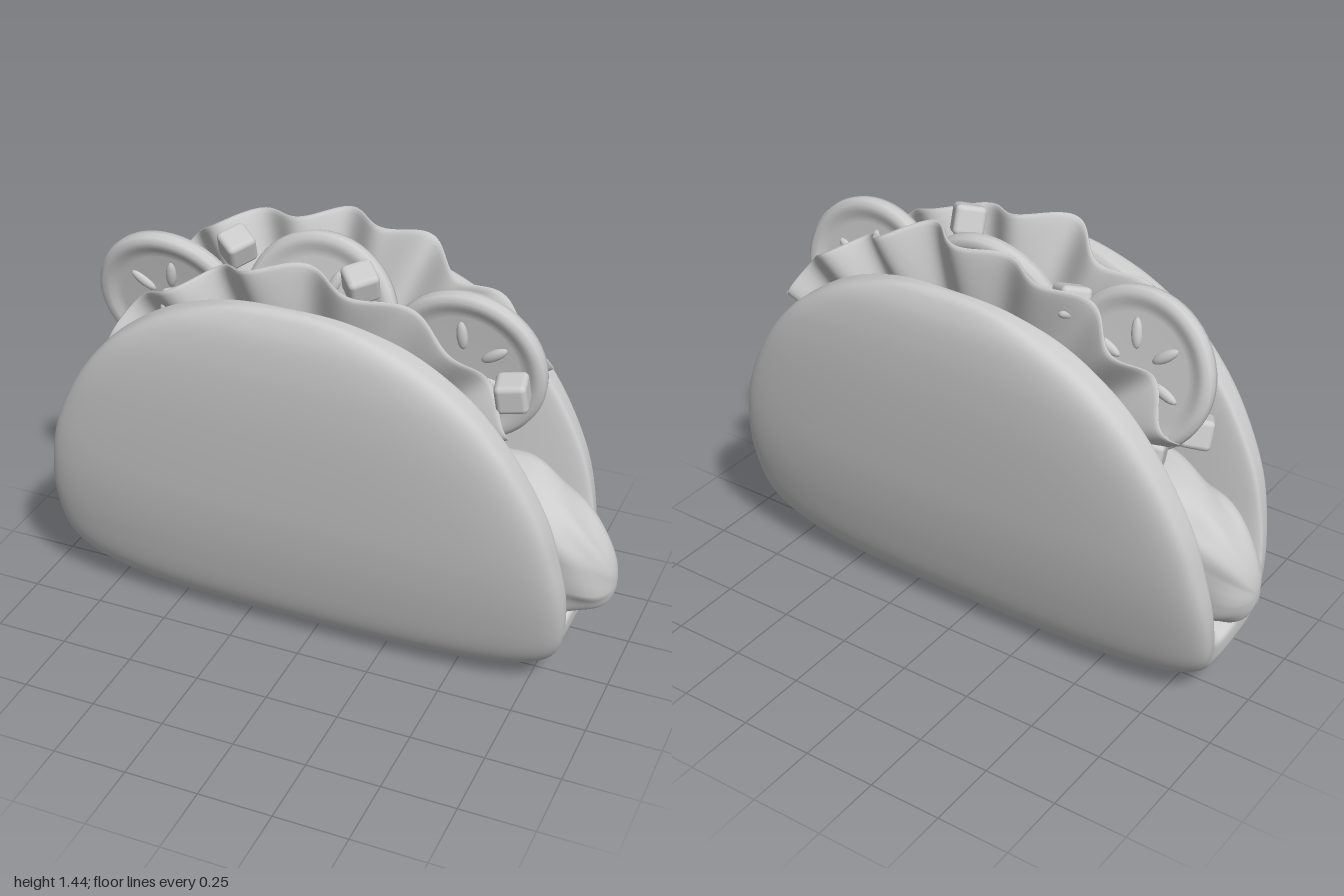
import * as THREE from 'three';
import { mergeVertices } from 'three/addons/utils/BufferGeometryUtils.js';
import { RoundedBoxGeometry } from 'three/addons/geometries/RoundedBoxGeometry.js';

const material = new THREE.MeshStandardMaterial({ color: 0xcccccc, roughness: 0.8 });

function addMesh(parent, name, geometry) {
  const mesh = new THREE.Mesh(geometry, material);
  mesh.name = name;
  parent.add(mesh);
  return mesh;
}

const spow = (v, e) => Math.sign(v) * Math.pow(Math.abs(v), e);

// Skins closed rings: point(u, a) gives [x, y, z], u in 0..1 along, a in 0..2PI around
function loft(rows, cols, point) {
  const pos = [], index = [];
  for (let i = 0; i <= rows; i++)
    for (let j = 0; j < cols; j++) pos.push(...point(i / rows, (j / cols) * Math.PI * 2));
  for (let i = 0; i < rows; i++)
    for (let j = 0; j < cols; j++) {
      const k = (j + 1) % cols;
      const a = i * cols + j, b = i * cols + k, c = a + cols, d = b + cols;
      index.push(a, b, c, b, d, c);
    }
  let geometry = new THREE.BufferGeometry();
  geometry.setAttribute('position', new THREE.Float32BufferAttribute(pos, 3));
  geometry.setIndex(index);
  geometry = mergeVertices(geometry, 1e-5);
  geometry.computeVertexNormals();
  return geometry;
}

// Folded shell: [half width, outer y, outer z, inner y, inner z] from fold to rim
const STATIONS = [
  [0.865, 0, 0, 0.24, 0],
  [0.875, 0.025, 0.1, 0.27, 0.06],
  [0.9, 0.12, 0.18, 0.34, 0.105],
  [0.905, 0.3, 0.24, 0.45, 0.135],
  [0.885, 0.5, 0.285, 0.56, 0.152],
  [0.84, 0.7, 0.313, 0.72, 0.166],
  [0.745, 0.9, 0.333, 0.9, 0.178],
  [0.63, 1.05, 0.34, 1.05, 0.187],
  [0.51, 1.15, 0.337, 1.15, 0.195],
  [0.38, 1.225, 0.327, 1.225, 0.207],
  [0.23, 1.28, 0.306, 1.277, 0.23],
  [0.11, 1.3, 0.288, 1.3, 0.25],
  [0, 1.305, 0.27, 1.305, 0.27],
];

function shellGeometry() {
  const half = (s, yi, side) => new THREE.Vector3(s[0], s[yi], s[yi + 1] * side);
  const path = (yi) => new THREE.CatmullRomCurve3([
    ...STATIONS.slice(1).reverse().map((s) => half(s, yi, 1)),
    ...STATIONS.map((s) => half(s, yi, -1)),
  ], false, 'catmullrom', 0.5);
  const outer = path(1), inner = path(3);
  return loft(144, 88, (u, a) => {
    const o = outer.getPoint(u), n = inner.getPoint(u);
    const edge = n.clone().lerp(o, 0.25);
    // the walls are flatter than the fold
    const k = spow(Math.sin(a), 0.62 - 0.2 * THREE.MathUtils.smoothstep(o.y, 0, 0.7));
    const p = edge.clone().lerp(k > 0 ? o : n, Math.abs(k));
    return [-0.025 + Math.max(0, o.x) * spow(Math.cos(a), 0.68), p.y, p.z];
  });
}

// Lettuce: a fan-shaped sheet that ripples more towards its rim
function lettuceGeometry({ side, radius, from, to, waves, phase }) {
  return loft(140, 28, (u, a) => {
    const t = from + (to - from) * u;
    const taper = Math.pow(Math.max(0, 1 - Math.pow(Math.abs(u * 2 - 1), 16)), 0.5);
    const f = 0.5 + 0.5 * spow(Math.cos(a), 0.8);
    const rim = radius + 0.014 * Math.sin(9 * t + phase);
    const r = 0.42 + (rim - 0.42) * f;
    const ripple = (0.046 + 0.012 * Math.sin(5 * t + phase)) * f * Math.cos(waves * t + phase);
    const z = side * (0.1 + 0.075 * f * Math.cos(t) + ripple);
    return [-0.02 + r * Math.sin(t), 0.6 + r * Math.cos(t), z + 0.017 * taper * spow(Math.sin(a), 0.6)];
  });
}

// Filling: a boxy loaf with blunt ends and soft lumps
function fillingGeometry() {
  return loft(100, 64, (u, a) => {
    const t = -Math.cos(u * Math.PI);
    const tall = Math.pow(1 - Math.pow(Math.abs(t), 3.3), 0.45);
    const deep = Math.pow(1 - Math.pow(Math.abs(t), 6), 0.48);
    const c = spow(Math.cos(a), 0.55), n = spow(Math.sin(a), 0.55);
    const lump = 1 + 0.03 * Math.sin(t * 15 + 3 * c) + 0.03 * Math.sin(t * 28 - 5 * n + 5 * c)
      + 0.025 * Math.sin(9 * c + 4 * n);
    const low = c < 0 ? 1 - 0.4 * c * c : 1;
    const y = 0.54 - 0.12 * t * t * t * t + 0.285 * tall * c * lump;
    return [t, y, 0.005 + 0.01 * Math.sin(9 * t) + 0.152 * deep * n * low * lump];
  });
}

// Tomato slice: a ridged disc with seeds on both faces
function tomatoSlice(x, y, z, lean, spin) {
  const group = new THREE.Group();
  group.name = 'tomatoSlice';
  const upper = [[0.262, 0], [0.258, 0.02], [0.242, 0.03], [0.22, 0.028], [0.205, 0.017], [0.18, 0.013], [0, 0.013]];
  const lower = upper.slice(1).reverse().map(([r, h]) => [r, -h]);
  const profile = [...lower, ...upper].map(([r, h]) => new THREE.Vector2(r, h));
  addMesh(group, 'slice', new THREE.LatheGeometry(profile, 56).rotateX(Math.PI / 2));
  for (const face of [-1, 1])
    for (let i = 0; i < 6; i++) {
      const angle = spin + (i * Math.PI) / 3;
      const seed = addMesh(group, 'seed', new THREE.SphereGeometry(1, 14, 10));
      seed.scale.set(0.05, 0.018, 0.014);
      seed.position.set(0.115 * Math.cos(angle), 0.115 * Math.sin(angle), face * 0.014);
      seed.rotation.z = angle;
    }
  group.position.set(x, y, z);
  group.rotation.x = lean;
  return group;
}

export function createModel() {
  const model = new THREE.Group();
  model.name = 'taco';

  addMesh(model, 'shell', shellGeometry());
  addMesh(model, 'filling', fillingGeometry());
  addMesh(model, 'frontLettuce', lettuceGeometry({
    side: 1, radius: 0.79, from: -1.22, to: 1.08, waves: 15, phase: 2.72,
  }));
  addMesh(model, 'backLettuce', lettuceGeometry({
    side: -1, radius: 0.835, from: -1.13, to: 1.03, waves: 18, phase: 0,
  }));

  model.add(
    tomatoSlice(-0.55, 1.09, -0.02, 0.2, 0.4),
    tomatoSlice(-0.035, 1.15, -0.03, -0.2, 0.1),
    tomatoSlice(0.47, 1.09, 0.01, 0.1, 0.6),
  );

  // Diced cubes scattered over the top: position and turn
  const cubes = [
    [0.65, 1.08, 0.1, 0.2], [0.15, 1.345, 0.09, 0.7], [-0.46, 1.15, 0.12, 0.4],
    [-0.35, 1.29, -0.09, 0.9], [-0.67, 0.9, -0.14, 0.3], [-0.7, 0.86, 0.1, 0.5],
  ];
  for (const [x, y, z, turn] of cubes) {
    const cube = addMesh(model, 'dicedCube', new RoundedBoxGeometry(0.1, 0.1, 0.1, 3, 0.018));
    cube.position.set(x, y, z);
    cube.rotation.set(turn * 0.6, turn, 0.2 - turn * 0.4);
  }
  return model;
}
